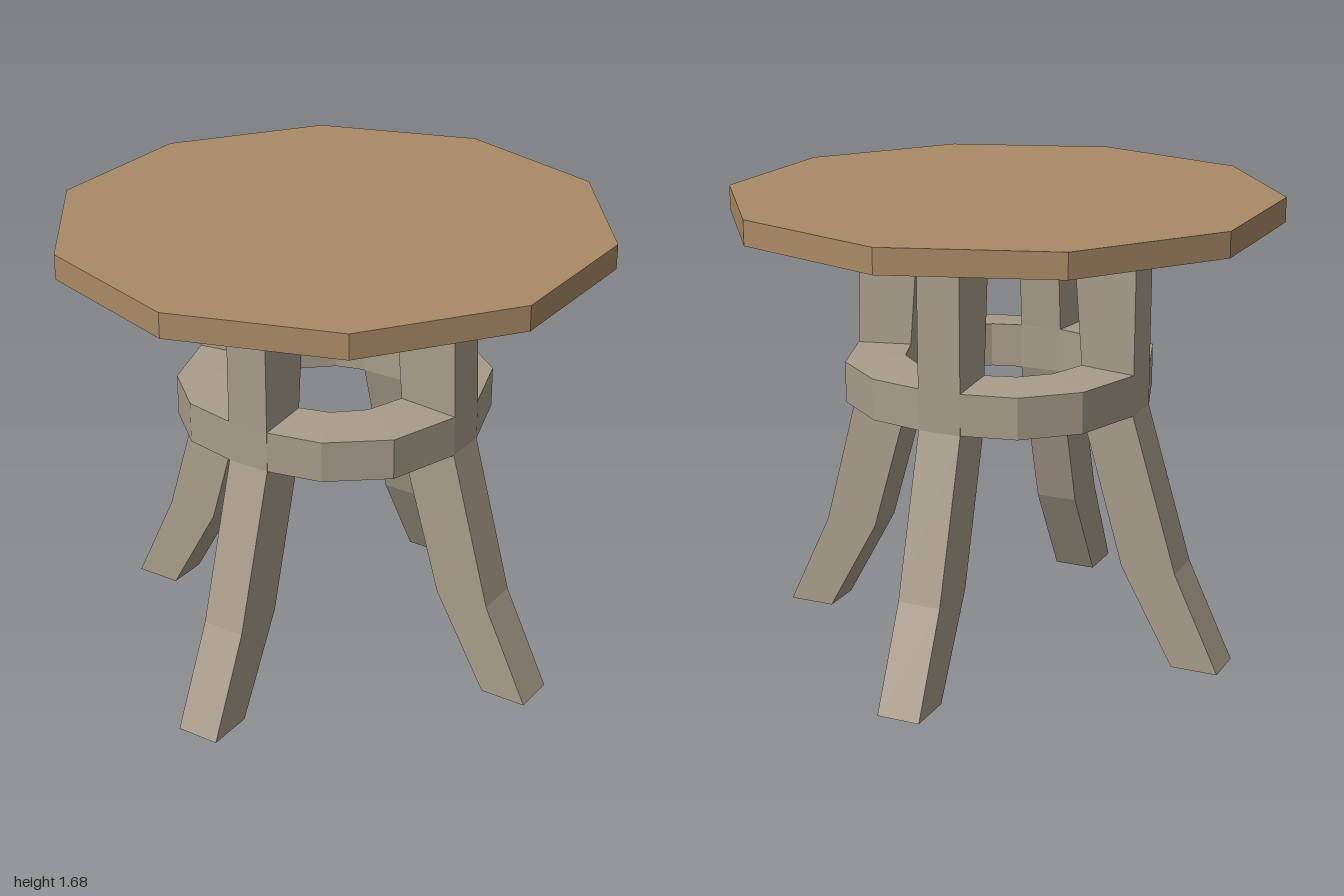
import * as THREE from 'three';

const wood = new THREE.MeshStandardMaterial({ color: 0xa98a66, flatShading: true });
const frame = new THREE.MeshStandardMaterial({ color: 0xa89c8a, flatShading: true });
const HALF = 0.08; // half the width of a leg

function addMesh(parent, name, geometry, material) {
  const mesh = new THREE.Mesh(geometry, material);
  mesh.name = name;
  parent.add(mesh);
  return mesh;
}

// Splayed leg: side profile pointing along +x, extruded to the leg width
function legGeometry(waist) {
  const profile = [
    [0.705, 0], [0.88, 0], [0.71, 0.36], [waist, 0.935], [waist, 1.085], [0.54, 1.6],
    [0.3, 1.6], [0.34, 1.1], [0.34, 0.935], [0.505, 0.36],
  ].map(([x, y]) => new THREE.Vector2(x, y));
  const geometry = new THREE.ExtrudeGeometry(new THREE.Shape(profile), { depth: 2 * HALF, bevelEnabled: false });
  return geometry.translate(0, 0, -HALF);
}

// Quarter of the brace ring, spanning from the leg on x to the leg on z
function braceGeometry(sx, sz) {
  const outer = [[sx > 0 ? 0.558 : 0.538, HALF], [sx > 0 ? 0.472 : 0.452, 0.342], [0.277, 0.497], [HALF, 0.537]];
  const inner = [[0.34, HALF], [0.29, 0.22], [0.19, 0.31], [HALF, 0.34]];
  const positions = [];
  const indices = [];
  outer.forEach(([ox, oz], i) => {
    const [ix, iz] = inner[i];
    positions.push(
      sx * ox, 0.935, sz * oz, sx * ox, 1.085, sz * oz,
      sx * ix, 1.1, sz * iz, sx * ix, 0.935, sz * iz,
    );
  });
  for (let i = 0; i < outer.length - 1; i++) {
    for (let j = 0; j < 4; j++) {
      const a = i * 4 + j, d = i * 4 + (j + 1) % 4;
      const b = a + 4, c = d + 4;
      if (sx * sz > 0) indices.push(a, d, c, a, c, b);
      else indices.push(a, c, d, a, b, c);
    }
  }
  const indexed = new THREE.BufferGeometry();
  indexed.setAttribute('position', new THREE.Float32BufferAttribute(positions, 3));
  indexed.setIndex(indices);
  const geometry = indexed.toNonIndexed();
  geometry.computeVertexNormals();
  return geometry;
}

export function createModel() {
  const model = new THREE.Group();
  model.name = 'roundTable';

  // Ten-sided top
  const top = addMesh(model, 'tableTop', new THREE.CylinderGeometry(1, 1, 0.09, 10), wood);
  top.position.y = 1.64;

  // Four legs; the one on +x bulges slightly at the ring
  ['leftLeg', 'backLeg', 'rightLeg', 'frontLeg'].forEach((name, i) => {
    const leg = addMesh(model, name, legGeometry(i === 0 ? 0.558 : 0.538), frame);
    leg.rotation.y = i * Math.PI / 2;
  });

  // Brace ring between the legs
  const ring = new THREE.Group();
  ring.name = 'braceRing';
  for (const sx of [1, -1]) {
    for (const sz of [1, -1]) {
      const name = (sz > 0 ? 'front' : 'back') + (sx > 0 ? 'Left' : 'Right') + 'Brace';
      addMesh(ring, name, braceGeometry(sx, sz), frame);
    }
  }
  model.add(ring);
  return model;
}
